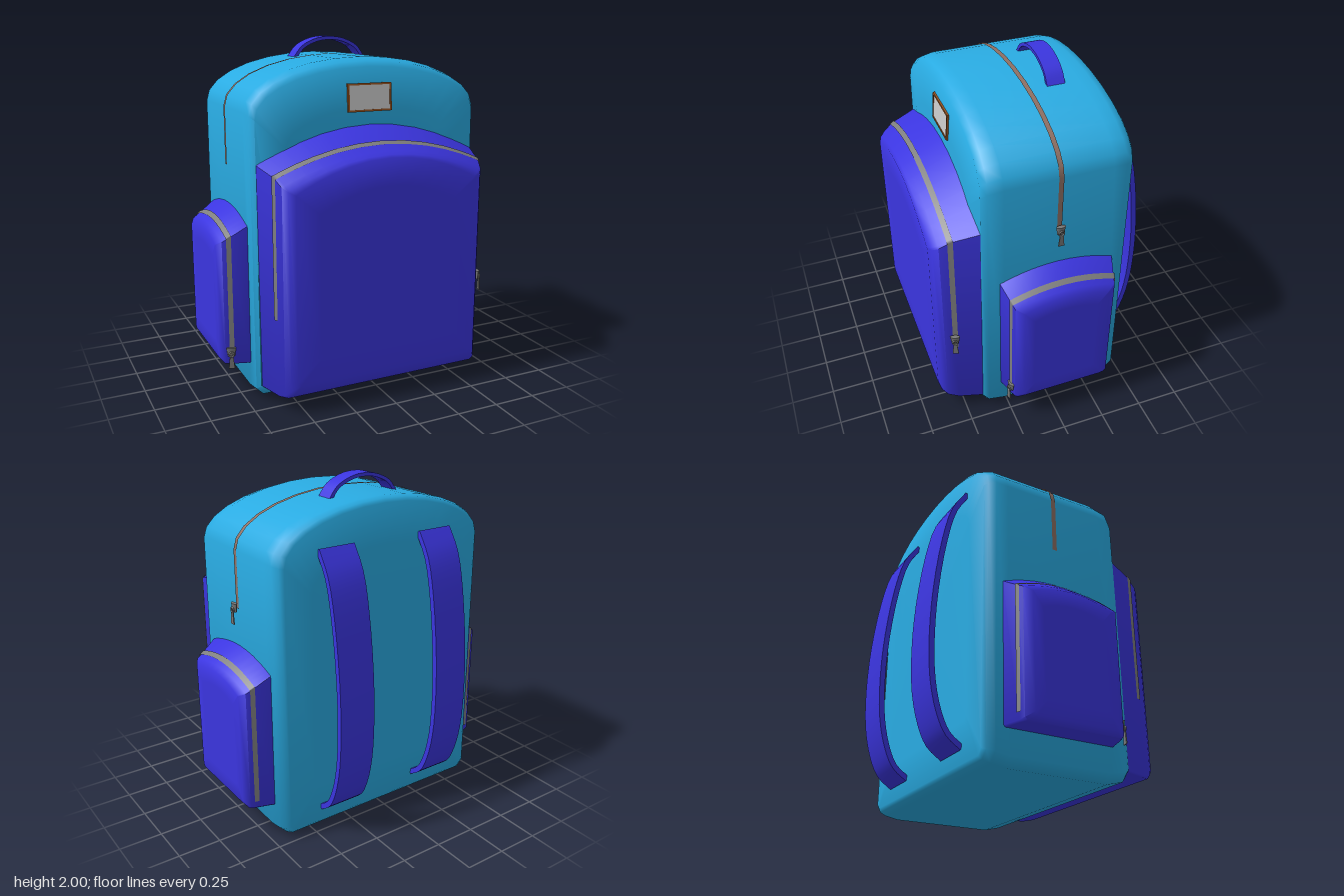
import * as THREE from 'three';
import { toCreasedNormals } from 'three/addons/utils/BufferGeometryUtils.js';

const mat = (color, side = THREE.FrontSide) => new THREE.MeshStandardMaterial({ color, side });
const BLUE = mat(0x29abe2), INDIGO = mat(0x3b35e0), METAL = mat(0x777777);
const TAPE = mat(0x7f7f7f, THREE.DoubleSide), BROWN_TAPE = mat(0x8f7064, THREE.DoubleSide);
const LEATHER = mat(0x9a5522), PANEL = mat(0xcccccc);

function part(name, geometry, material, parent) {
  const mesh = new THREE.Mesh(geometry, material);
  mesh.name = name;
  parent.add(mesh);
  return mesh;
}

// A ring is [z, halfWidth, bottom, shoulder, top, bottomCorner].
// Arch over the two shoulders, from right to left; power 1 is round, 2 is flatter.
function arch([, w, , shoulder, top], power, steps = 14) {
  const points = [];
  for (let i = 0; i <= steps; i++) {
    const a = (Math.PI * i) / steps;
    points.push([w * Math.cos(a), shoulder + (top - shoulder) * Math.pow(Math.sin(a), power)]);
  }
  return points;
}

function outline(ring, power) {
  const [, w, bottom, , , c] = ring;
  return [[-w + c, bottom], [w - c, bottom], [w, bottom + c], ...arch(ring, power), [-w, bottom + c]];
}

// Closed padded shape through rings ordered from back to front
function loft(rings, power, bend = (x, y, z) => z) {
  const first = rings[0], last = rings[rings.length - 1];
  const layers = [
    ...[0, 0.4, 0.75].map((k) => [first, k]),
    ...rings.map((r) => [r, 1]),
    ...[0.75, 0.4, 0].map((k) => [last, k]),
  ];
  const positions = [], index = [];
  let n = 0;
  for (const [ring, k] of layers) {
    const mid = (ring[2] + ring[4]) / 2;
    const points = outline(ring, power);
    n = points.length;
    for (const [px, py] of points) {
      const x = px * k, y = mid + (py - mid) * k;
      positions.push(x, y, bend(x, y, ring[0]));
    }
  }
  for (let i = 0; i < layers.length - 1; i++) {
    for (let j = 0; j < n; j++) {
      const a = i * n + j, b = i * n + ((j + 1) % n);
      index.push(a, b, b + n, a, b + n, a + n);
    }
  }
  const g = new THREE.BufferGeometry();
  g.setAttribute('position', new THREE.Float32BufferAttribute(positions, 3));
  g.setIndex(index);
  return toCreasedNormals(g, 0.95);
}

// Ring of a lofted shape at any depth
function ringAt(rings, z) {
  let i = 0;
  while (i < rings.length - 2 && rings[i + 1][0] < z) i++;
  const t = (z - rings[i][0]) / (rings[i + 1][0] - rings[i][0]);
  return rings[i].map((v, k) => THREE.MathUtils.lerp(v, rings[i + 1][k], t));
}

// Zip tape lying on a lofted shape, running down both sides to endY
function zipTape(rings, power, z, width, endY) {
  const lift = 0.005, positions = [], index = [];
  const edges = [z - width / 2, z + width / 2].map((d) => {
    const r = ringAt(rings, d);
    r[1] += lift; r[3] += lift; r[4] += lift;
    return [[r[1], endY], ...arch(r, power), [-r[1], endY]].map(([x, y]) => [x, y, d]);
  });
  const n = edges[0].length;
  edges.flat().forEach((p) => positions.push(...p));
  for (let j = 0; j < n - 1; j++) index.push(j, j + 1, j + 1 + n, j, j + 1 + n, j + n);
  const g = new THREE.BufferGeometry();
  g.setAttribute('position', new THREE.Float32BufferAttribute(positions, 3));
  g.setIndex(index);
  g.computeVertexNormals();
  return g;
}

// Flat webbing following a curve in the xy plane, extruded along z
function webbing(points, thickness, width) {
  const curve = new THREE.CatmullRomCurve3(points.map(([x, y]) => new THREE.Vector3(x, y, 0)));
  const outer = [], inner = [];
  for (let i = 0; i <= 24; i++) {
    const p = curve.getPoint(i / 24), t = curve.getTangent(i / 24);
    outer.push(new THREE.Vector2(p.x, p.y));
    inner.unshift(new THREE.Vector2(p.x + t.y * thickness, p.y - t.x * thickness));
  }
  const g = new THREE.ExtrudeGeometry(new THREE.Shape([...outer, ...inner]), { depth: width, bevelEnabled: false });
  g.translate(0, 0, -width / 2);
  return toCreasedNormals(g, 0.6);
}

// Slider, loop and hanging tab, facing +z before turning
function zipPull(name, x, y, z, turn, parent) {
  const g = new THREE.Group();
  g.name = name;
  part('slider', new THREE.CylinderGeometry(0.028, 0.02, 0.05, 12), METAL, g).scale.z = 0.45;
  part('loop', new THREE.TorusGeometry(0.014, 0.005, 8, 16), METAL, g).position.set(0, -0.012, 0.013);
  const tab = new THREE.Shape();
  tab.moveTo(-0.01, 0.035).lineTo(-0.017, -0.035).lineTo(0.017, -0.035).lineTo(0.01, 0.035);
  const tabGeo = new THREE.ExtrudeGeometry(tab, { depth: 0.006, bevelEnabled: false });
  part('tab', tabGeo, METAL, g).position.set(0, -0.06, 0.01);
  g.position.set(x, y, z);
  g.rotation.y = turn;
  parent.add(g);
}

export function createModel() {
  const model = new THREE.Group();
  model.name = 'backpack';

  // Main bag, leaning in slightly near the top
  const bodyRings = [
    [-0.475, 0.655, 0.05, 1.61, 1.87, 0.03],
    [-0.46, 0.68, 0.03, 1.615, 1.892, 0.04],
    [-0.42, 0.7, 0.015, 1.62, 1.9, 0.05],
    [-0.34, 0.7, 0, 1.62, 1.9, 0.05],
    [0.27, 0.7, 0, 1.62, 1.9, 0.05],
    [0.37, 0.695, 0.025, 1.61, 1.88, 0.04],
    [0.4, 0.675, 0.06, 1.59, 1.85, 0.03],
  ];
  const lean = (x, y, z) => {
    const up = Math.max(0, y - 1.45);
    return z > 0.3 ? z - up * 0.08 : z < -0.4 ? z + up * 0.04 : z;
  };
  part('mainBag', loft(bodyRings, 1, lean), BLUE, model);
  part('mainZip', zipTape(bodyRings, 1, -0.04, 0.028, 1.29), BROWN_TAPE, model);
  zipPull('mainZipPull', 0.725, 1.3, -0.04, Math.PI / 2, model);

  // Front pocket
  const frontRings = [
    [0.37, 0.68, 0.08, 1.36, 1.54, 0.01],
    [0.4, 0.67, 0.08, 1.35, 1.53, 0.01],
    [0.54, 0.63, 0.08, 1.31, 1.45, 0.01],
    [0.6, 0.61, 0.09, 1.27, 1.415, 0.02],
    [0.63, 0.585, 0.12, 1.25, 1.4, 0.02],
    [0.645, 0.55, 0.17, 1.23, 1.385, 0.02],
  ];
  part('frontPocket', loft(frontRings, 2), INDIGO, model);
  part('frontPocketZip', zipTape(frontRings, 2, 0.543, 0.028, 0.53), TAPE, model);
  zipPull('frontPocketZipPull', 0.65, 0.61, 0.55, Math.PI * 0.4, model);

  // Side pockets, turned outward
  const sideRings = [
    [0.67, 0.335, 0.19, 1.0, 1.075, 0.01],
    [0.7, 0.335, 0.19, 1.0, 1.065, 0.01],
    [0.8, 0.305, 0.19, 0.935, 0.993, 0.01],
    [0.835, 0.295, 0.192, 0.915, 0.965, 0.015],
    [0.86, 0.25, 0.22, 0.89, 0.94, 0.015],
  ];
  for (const s of [1, -1]) {
    const name = s > 0 ? 'left' : 'right';
    const pocket = new THREE.Group();
    pocket.name = name + 'SidePocket';
    pocket.position.z = -0.04;
    pocket.rotation.y = (s * Math.PI) / 2;
    part('pocketPouch', loft(sideRings, 2), INDIGO, pocket);
    part('pocketZip', zipTape(sideRings, 2, 0.8, 0.026, 0.24), TAPE, pocket);
    model.add(pocket);
    zipPull(name + 'PocketZipPull', s * 0.805, 0.27, 0.27, s * 0.25, model);

    // Shoulder strap: curve given as (-z, y)
    const strapPath = [[0.45, 1.67], [0.53, 1.54], [0.585, 1.33], [0.63, 1.0], [0.643, 0.72], [0.63, 0.48], [0.59, 0.31], [0.54, 0.21], [0.46, 0.15]];
    const strap = part(name + 'ShoulderStrap', webbing(strapPath, -0.032, 0.225), INDIGO, model);
    strap.rotation.y = Math.PI / 2;
    strap.position.x = s * 0.337;
  }

  // Carrying handle
  const handlePath = [[-0.24, 1.87], [-0.18, 1.945], [-0.09, 1.988], [0, 2.0], [0.09, 1.988], [0.18, 1.945], [0.24, 1.87]];
  part('carryHandle', webbing(handlePath, 0.02, 0.105), INDIGO, model).position.z = -0.202;

  // Framed name panel
  const panel = new THREE.Group();
  panel.name = 'namePanel';
  part('panel', new THREE.BoxGeometry(0.25, 0.145, 0.012), PANEL, panel);
  for (const s of [1, -1]) {
    part('frameRail', new THREE.BoxGeometry(0.27, 0.011, 0.02), LEATHER, panel).position.y = s * 0.073;
    part('frameSide', new THREE.BoxGeometry(0.011, 0.146, 0.02), LEATHER, panel).position.x = s * 0.13;
  }
  panel.position.set(0, 1.683, 0.383);
  panel.rotation.x = -0.08;
  model.add(panel);

  return model;
}
